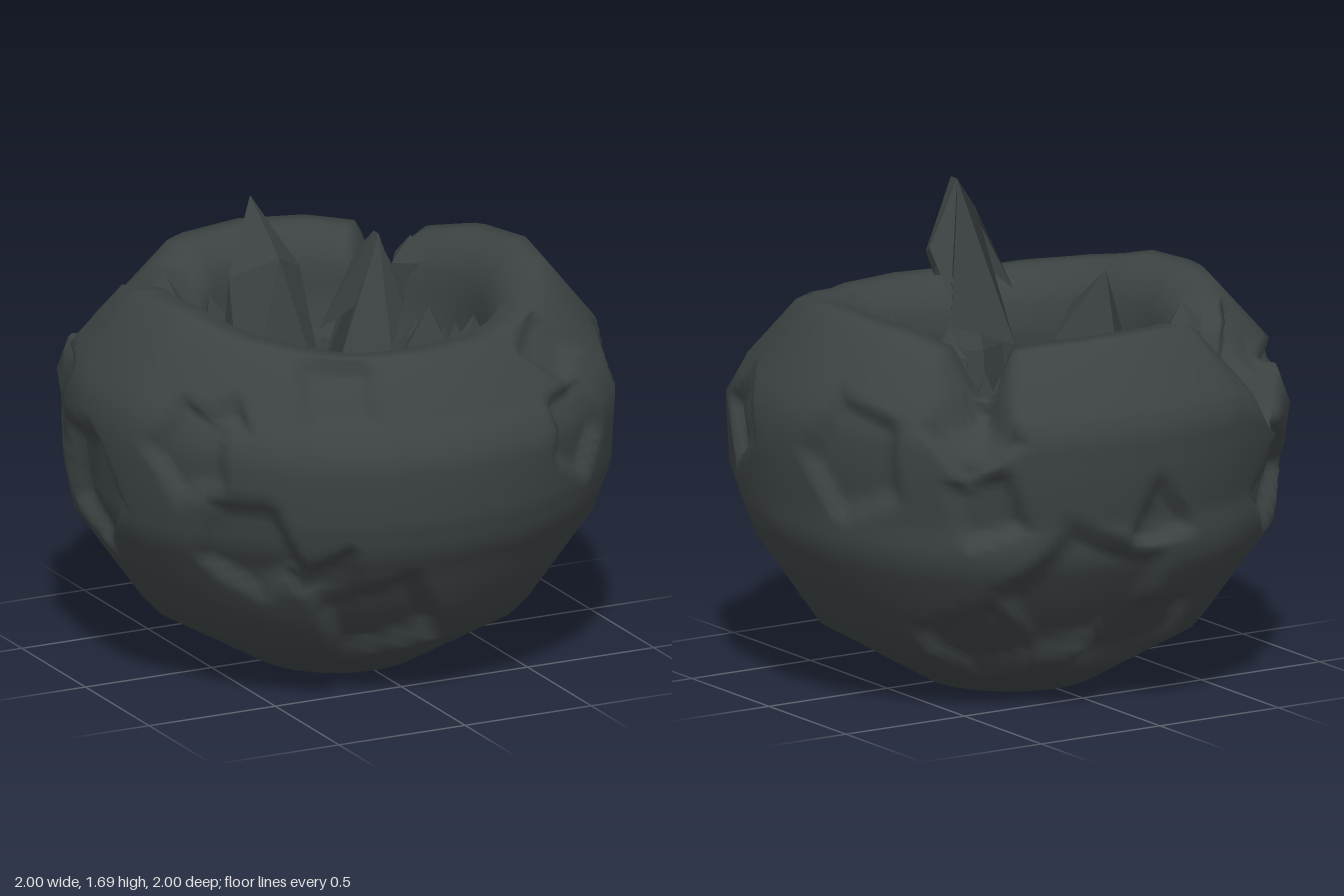
import * as THREE from 'three';
import { ConvexGeometry } from 'three/addons/geometries/ConvexGeometry.js';

const stone = new THREE.MeshStandardMaterial({ color: 0x3c4242 });
stone.name = 'darkStone';
const stoneFlat = stone.clone();
stoneFlat.flatShading = true;
stoneFlat.side = THREE.DoubleSide;
stoneFlat.name = 'darkStoneShard';

const RAD = Math.PI / 180;

// Seeded random numbers
let seed = 7;
function rnd(min, max) {
  seed = (seed * 16807) % 2147483647;
  return min + (max - min) * (seed / 2147483647);
}

// Linear lookup in a table of [key, value]
function lookup(table, k) {
  for (let i = 1; i < table.length; i++) {
    const [k0, v0] = table[i - 1], [k1, v1] = table[i];
    if (k <= k1) return v0 + ((v1 - v0) * (k - k0)) / (k1 - k0);
  }
  return table[table.length - 1][1];
}

// Profile [radius, height]: up the outside, over the rim, down into the hollow
const OUTER = [[0, 0], [0.31, 0], [0.69, 0.22], [0.93, 0.56], [0.98, 0.75], [1, 1.02], [0.94, 1.18], [0.76, 1.4]];
const INNER = [[0.63, 1.39], [0.55, 1.27], [0.52, 1.0], [0.44, 0.8], [0, 0.72]];
const PROFILE = [...OUTER, ...INNER].map(([r, y]) => new THREE.Vector2(r, y));
const SMOOTH = new THREE.SplineCurve(PROFILE);

// Rim height by angle, 0 at the front and 90 at +x
const RIM = [[0, 1.3], [25, 1.3], [50, 1.34], [65, 1.37], [76, 1.4], [90, 1.41], [112, 1.39], [128, 1.34],
  [137, 1.16], [142, 1.16], [147, 1.34], [160, 1.36], [180, 1.37], [205, 1.36], [213, 1.28], [219, 1.0],
  [224, 1.0], [231, 1.26], [245, 1.35], [262, 1.4], [285, 1.4], [295, 1.37], [310, 1.34], [335, 1.3], [360, 1.3]];

// Backward lean by height
const LEAN = [[0, -0.02], [0.25, -0.02], [0.56, -0.03], [0.75, 0], [1, -0.01], [1.16, -0.04], [1.4, -0.03]];

// Chipped pits: angle, height, size, depth, sides, turn
const PITS = [
  [-47, 0.65, 0.23, 0.05, 5, 0.3], [-15, 0.32, 0.3, 0.06, 4, 0.4], [-28, 0.52, 0.2, 0.04, 3, 1],
  [36, 0.97, 0.2, 0.05, 5, 0.2], [71, 1.0, 0.2, 0.05, 4, 0.1], [113, 0.97, 0.25, 0.05, 5, 3.1],
  [143, 0.82, 0.18, 0.05, 4, 0.5], [140, 0.25, 0.28, 0.05, 4, 0.2], [166, 0.45, 0.36, 0.06, 5, 0.7],
  [190, 0.25, 0.3, 0.06, 4, 0.9], [182, 0.75, 0.18, 0.04, 3, 0.4], [266, 0.75, 0.26, 0.06, 5, 0.1],
  [245, 1.02, 0.22, 0.06, 4, 0.9], [225, 0.75, 0.24, 0.06, 4, 1.5], [300, 1.0, 0.2, 0.05, 5, 0.6],
  [-52, 1.12, 0.1, 0.04, 4, 0.2], [-27, 1.25, 0.2, 0.04, 4, 0.7], [40, 1.26, 0.18, 0.04, 4, 0.3],
  [140, 1.08, 0.2, 0.05, 4, 0.1], [235, 1.25, 0.2, 0.05, 4, 0.5],
];

const CORE = new THREE.Vector3(0, 0.7, 0);

// Point on the shell; the rim table stretches everything above y = 0.9
function shellPoint(r, y, deg, smooth) {
  const top = lookup(RIM, deg);
  const lean = lookup(LEAN, y);
  if (y > 0.9) y = 0.9 + ((y - 0.9) * (top - 0.9)) / 0.5;
  const side = 360 / 20, off = Math.abs(((deg + side / 2) % side) - side / 2);
  if (!smooth) r *= Math.cos((side / 2) * RAD) / Math.cos((side / 2 - off) * RAD);
  return new THREE.Vector3(r * Math.sin(deg * RAD), Math.max(0, y), r * Math.cos(deg * RAD) + lean);
}

const radiusByHeight = OUTER.slice(1).map(([r, h]) => [h, r]);
const pits = PITS.map(([deg, y, size, depth, sides, turn]) => {
  const r = lookup(radiusByHeight, y);
  const c = new THREE.Vector3(r * Math.sin(deg * RAD), y, r * Math.cos(deg * RAD));
  const u = new THREE.Vector3(Math.cos(deg * RAD), 0, -Math.sin(deg * RAD));
  const v = c.clone().sub(CORE).normalize().cross(u);
  return { c, u, v, size, depth, sides, turn };
});

// Push a point inwards where it lies in a pit
function dent(p) {
  let push = 0;
  for (const pit of pits) {
    const d = p.clone().sub(pit.c);
    if (d.length() > pit.size * 1.3) continue;
    const du = d.dot(pit.u), dv = d.dot(pit.v);
    const step = (2 * Math.PI) / pit.sides;
    const phi = (Math.atan2(dv, du) + pit.turn + 4 * Math.PI) % step;
    const edge = (pit.size * Math.cos(step / 2)) / Math.cos(phi - step / 2);
    push = Math.max(push, pit.depth * THREE.MathUtils.clamp((1 - Math.hypot(du, dv) / edge) / 0.25, 0, 1));
  }
  return p.addScaledVector(CORE.clone().sub(p).normalize(), push);
}

// Ring points of the shell, either rounded or faceted
const SUB = 8, N = 200, ROWS = (PROFILE.length - 1) * SUB + 1;
function shellPositions(smooth) {
  const pos = [];
  for (let i = 0; i < ROWS; i++) {
    const k = Math.min(Math.floor(i / SUB), PROFILE.length - 2);
    const at = smooth ? SMOOTH.getPoint(i / (ROWS - 1))
      : PROFILE[k].clone().lerp(PROFILE[k + 1], i / SUB - k);
    for (let j = 0; j < N; j++) {
      const p = shellPoint(at.x, at.y, (j * 360) / N, smooth);
      if (k < OUTER.length - 1) dent(p);
      pos.push(p.x, p.y, p.z);
    }
  }
  return new THREE.Float32BufferAttribute(pos, 3);
}

// Hollow boulder: faceted outline with rounded shading
function shellGeometry() {
  const index = [];
  for (let i = 0; i < ROWS - 1; i++) {
    for (let j = 0; j < N; j++) {
      const a = i * N + j, b = i * N + ((j + 1) % N);
      index.push(a, b, a + N, b, b + N, a + N);
    }
  }
  const g = new THREE.BufferGeometry();
  g.setIndex(index);
  g.setAttribute('position', shellPositions(true));
  g.computeVertexNormals();
  g.setAttribute('position', shellPositions(false));
  return g;
}

function part(name, geometry) {
  const m = new THREE.Mesh(geometry, stoneFlat);
  m.name = name;
  return m;
}

// Blunt pointed shard from a base point to a tip
function shard(name, base, tip, width, depth, sides, turn = 0) {
  const from = new THREE.Vector3(...base), dir = new THREE.Vector3(...tip).sub(from);
  const outline = [[1, 0], [0.85, 0.6], [0, 1]].map(([r, y]) => new THREE.Vector2(r, y));
  const g = new THREE.LatheGeometry(outline, sides);
  g.rotateY(turn);
  g.scale(width, dir.length(), depth);
  const m = part(name, g);
  m.quaternion.setFromUnitVectors(new THREE.Vector3(0, 1, 0), dir.normalize());
  m.position.copy(from);
  return m;
}

// Thin flake: a fan of triangles around its first point
function flake(name, points) {
  const pos = [];
  for (let i = 1; i < points.length - 1; i++) pos.push(...points[0], ...points[i], ...points[i + 1]);
  const g = new THREE.BufferGeometry();
  g.setAttribute('position', new THREE.Float32BufferAttribute(pos, 3));
  g.computeVertexNormals();
  return part(name, g);
}

export function createModel() {
  const group = new THREE.Group();
  group.name = 'brokenBoulder';

  const shell = new THREE.Mesh(shellGeometry(), stone);
  shell.name = 'hollowBoulder';
  group.add(shell);

  // Tall folded flake behind the front rim, standing like an arch
  const tip = [-0.08, 1.69, 0.48], ridge = [-0.08, 1.69, 0.44], crook = [-0.08, 1.46, 0.45];
  group.add(flake('archFront', [tip, [-0.18, 1.46, 0.5], [-0.27, 1.28, 0.56], [-0.1, 1.3, 0.62], [0.0, 1.42, 0.52]]));
  group.add(flake('archLeft', [ridge, tip, [0.0, 1.42, 0.52], [0.05, 1.46, 0.42], [0.05, 1.3, 0.28], [-0.02, 1.6, 0.35]]));
  group.add(flake('archRight', [ridge, tip, [-0.18, 1.46, 0.5], crook, [-0.22, 1.3, 0.29], [-0.1, 1.6, 0.35]]));
  group.add(flake('archBack', [ridge, [-0.02, 1.6, 0.35], [0.05, 1.2, 0.28], [-0.22, 1.1, 0.28], [-0.1, 1.6, 0.35]]));
  group.add(shard('archFoot', [-0.1, 0.7, 0.36], [-0.1, 1.34, 0.4], 0.16, 0.1, 4));

  // Broad spike leaning on the back wall
  const spike = [[-0.09, 1.55, -0.51], [-0.09, 1.38, -0.28], [-0.24, 1.3, -0.38], [0.05, 1.3, -0.4],
    [-0.1, 1.25, -0.57], [-0.26, 0.75, -0.22], [0.08, 0.75, -0.2], [0.1, 0.75, -0.48], [-0.24, 0.75, -0.48]];
  group.add(part('backSpike', new ConvexGeometry(spike.map((p) => new THREE.Vector3(...p)))));

  // Broad slab on the -x side of the hollow
  group.add(flake('sideSlab', [[-0.56, 1.2, -0.15], [-0.56, 1.15, 0.18], [-0.2, 0.85, 0.17], [-0.18, 0.88, -0.13]]));

  // Ring of shards along the hollow wall
  for (let i = 0; i < 22; i++) {
    const a = ((i + rnd(-0.3, 0.3)) / 22) * Math.PI * 2, r = rnd(0.38, 0.47);
    const r2 = r + rnd(-0.04, 0.09), a2 = a + rnd(-0.25, 0.25);
    if (Math.sin(a) < -0.85) continue;
    group.add(shard('wallShard', [r * Math.sin(a), 0.74, r * Math.cos(a)],
      [r2 * Math.sin(a2), rnd(1.05, 1.28), r2 * Math.cos(a2)], rnd(0.11, 0.17), rnd(0.05, 0.12), 4, rnd(0, 3)));
  }

  // Short crystals on the hollow floor
  for (let i = 0; i < 18; i++) {
    const a = i * 2.4, r = 0.34 * Math.sqrt((i + 0.5) / 18);
    const x = r * Math.sin(a), z = r * Math.cos(a);
    group.add(shard('floorShard', [x, 0.68, z], [x + rnd(-0.18, 0.18), rnd(0.86, 1.06), z + rnd(-0.18, 0.18)],
      rnd(0.12, 0.18), rnd(0.07, 0.14), 5, rnd(0, 3)));
  }

  // Loose chips by the broken rim: angle, radius, height above it, width
  for (const [deg, r, h, w] of [[128, 0.64, 0.02, 0.1], [233, 0.66, 0.08, 0.12], [226, 0.8, 0.12, 0.11]]) {
    const x = r * Math.sin(deg * RAD), z = r * Math.cos(deg * RAD), y = lookup(RIM, deg);
    group.add(shard('rimChip', [x, y - 0.18, z], [x * 0.94, y + h, z * 0.94], w, w * 0.8, 5, deg));
  }
  return group;
}
